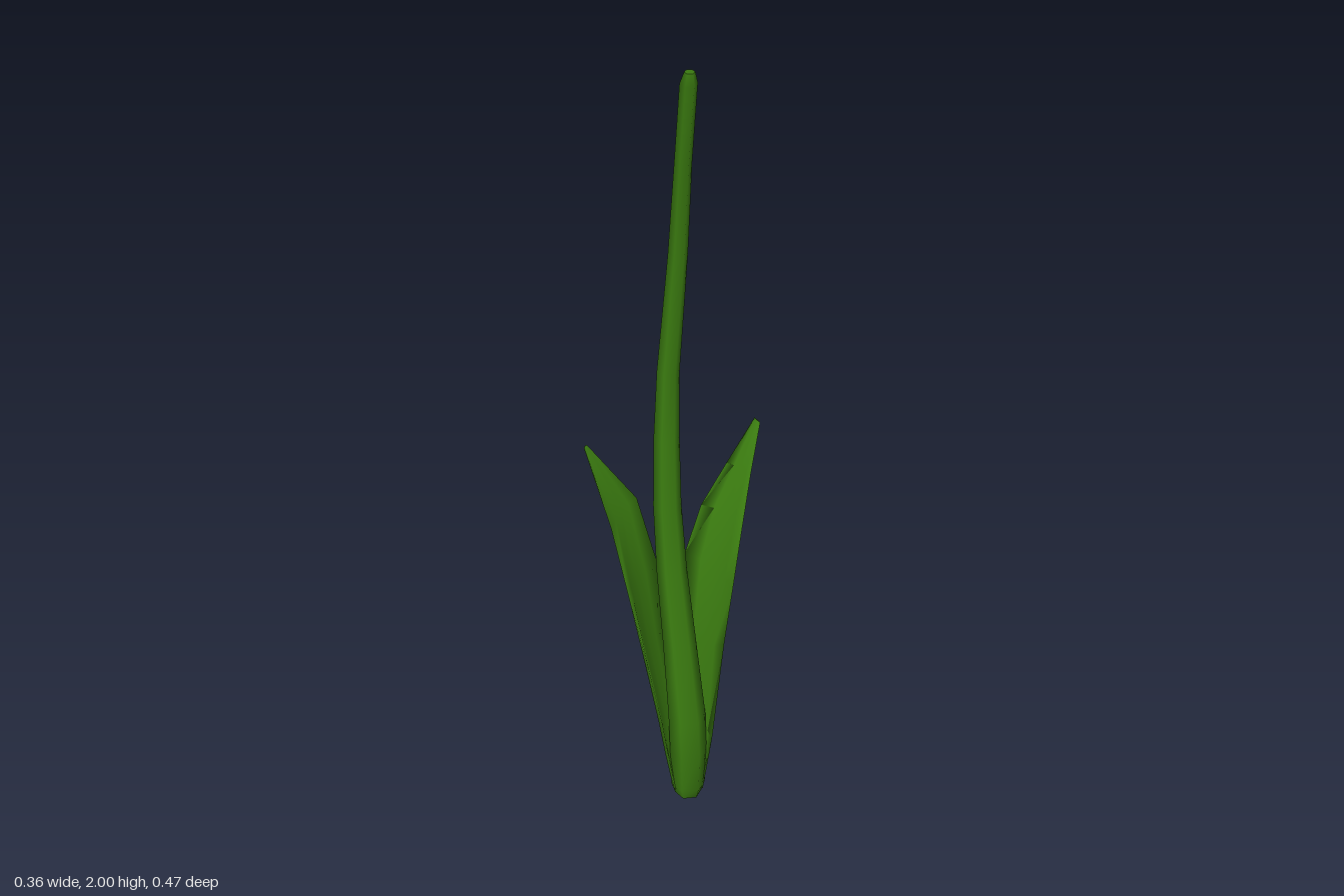
import * as THREE from 'three';

const green = new THREE.MeshStandardMaterial({ color: 0x3a7a10 });
const V = (p) => new THREE.Vector3(...p);

// Skin a stack of equal rings and cap both ends
function loft(name, rings) {
  const n = rings[0].length, pos = [], idx = [];
  rings.forEach((r) => r.forEach((p) => pos.push(p.x, p.y, p.z)));
  for (let i = 0; i < rings.length - 1; i++) {
    for (let j = 0; j < n; j++) {
      const a = i * n + j, b = i * n + (j + 1) % n, c = a + n, d = b + n;
      idx.push(a, c, b, b, c, d);
    }
  }
  [rings[0], rings[rings.length - 1]].forEach((r, end) => {
    const s = pos.length / 3;
    r.forEach((p) => pos.push(p.x, p.y, p.z));
    for (let j = 1; j < n - 1; j++) {
      if (end) idx.push(s, s + j + 1, s + j);
      else idx.push(s, s + j, s + j + 1);
    }
  });
  const g = new THREE.BufferGeometry();
  g.setAttribute('position', new THREE.Float32BufferAttribute(pos, 3));
  g.setIndex(idx);
  g.computeVertexNormals();
  const mesh = new THREE.Mesh(g, green);
  mesh.name = name;
  return mesh;
}

// Six-sided stem: rows of [x, y, z, radius]
function stem(rows) {
  return loft('stem', rows.map(([x, y, z, r]) =>
    Array.from({ length: 6 }, (_, k) => {
      const a = (k * Math.PI) / 3;
      return new THREE.Vector3(x + r * Math.cos(a), y, z + r * Math.sin(a));
    })));
}

// Cupped leaf: rows of [edge, outer middle, edge], given a thin lens-shaped section
function leaf(name, rows, thickness = 0.015) {
  const steps = 4;
  const rings = rows.map(([l, m, r], i) => {
    const L = V(l), M = V(m), R = V(r);
    const up = V(rows[Math.min(i + 1, rows.length - 1)][1]).sub(V(rows[Math.max(i - 1, 0)][1]));
    const outward = up.cross(R.clone().sub(L)).normalize();
    const ctrl = M.clone().multiplyScalar(2).addScaledVector(L, -0.5).addScaledVector(R, -0.5);
    const curve = new THREE.QuadraticBezierCurve3(L, ctrl, R);
    const t = Math.min(thickness, L.distanceTo(R) * 0.3);
    const ring = [];
    for (let k = 0; k <= steps; k++) ring.push(curve.getPoint(k / steps));
    for (let k = steps - 1; k > 0; k--) {
      const u = k / steps;
      ring.push(curve.getPoint(u).addScaledVector(outward, -t * Math.sin(Math.PI * u)));
    }
    return ring;
  });
  return loft(name, rings);
}

export function createModel() {
  const group = new THREE.Group();
  group.name = 'flowerStem';

  group.add(stem([
    [0.13, 0, 0.11, 0.034], [0.13, 0.03, 0.11, 0.043], [0.132, 0.14, 0.111, 0.047],
    [0.125, 0.25, 0.11, 0.047], [0.085, 0.45, 0.102, 0.042], [0.04, 0.65, 0.092, 0.038],
    [0.008, 0.82, 0.08, 0.035], [-0.012, 1.0, 0.066, 0.032], [-0.025, 1.18, 0.05, 0.028],
    [-0.013, 1.5, 0.029, 0.024], [0.015, 1.76, 0.034, 0.021],
    [0.047, 1.97, 0.043, 0.021], [0.052, 2.0, 0.044, 0.013],
  ]));

  // Leaf bending backwards
  group.add(leaf('backLeaf', [
    [[0.095, 0.02, 0.09], [0.13, 0.02, 0.066], [0.165, 0.02, 0.09]],
    [[0.078, 0.2, 0.085], [0.13, 0.2, 0.056], [0.175, 0.18, 0.068]],
    [[0.02, 0.42, 0.045], [0.1, 0.42, 0.024], [0.168, 0.46, 0.025]],
    [[-0.038, 0.61, -0.01], [0.055, 0.6, -0.042], [0.145, 0.6, -0.02]],
    [[-0.055, 0.72, -0.075], [0.02, 0.72, -0.105], [0.097, 0.72, -0.085]],
    [[-0.048, 0.82, -0.15], [0, 0.82, -0.17], [0.038, 0.83, -0.16]],
    [[-0.043, 0.925, -0.235], [-0.033, 0.922, -0.237], [-0.022, 0.92, -0.237]],
  ]));

  // Leaf bending to the model's right, in front of the stem
  group.add(leaf('sideLeaf', [
    [[0.125, 0.02, 0.148], [0.1, 0.02, 0.135], [0.095, 0.02, 0.1]],
    [[0.115, 0.12, 0.16], [0.09, 0.14, 0.15], [0.084, 0.15, 0.09]],
    [[0.13, 0.25, 0.19], [0.082, 0.25, 0.165], [0.062, 0.25, 0.09]],
    [[0.11, 0.42, 0.215], [0.04, 0.43, 0.175], [0.005, 0.45, 0.085]],
    [[0.05, 0.64, 0.235], [-0.015, 0.62, 0.175], [-0.03, 0.61, 0.08]],
    [[-0.03, 0.79, 0.225], [-0.075, 0.79, 0.172], [-0.085, 0.8, 0.105]],
    [[-0.177, 0.938, 0.197], [-0.18, 0.94, 0.191], [-0.18, 0.94, 0.185]],
  ]));

  return group;
}
